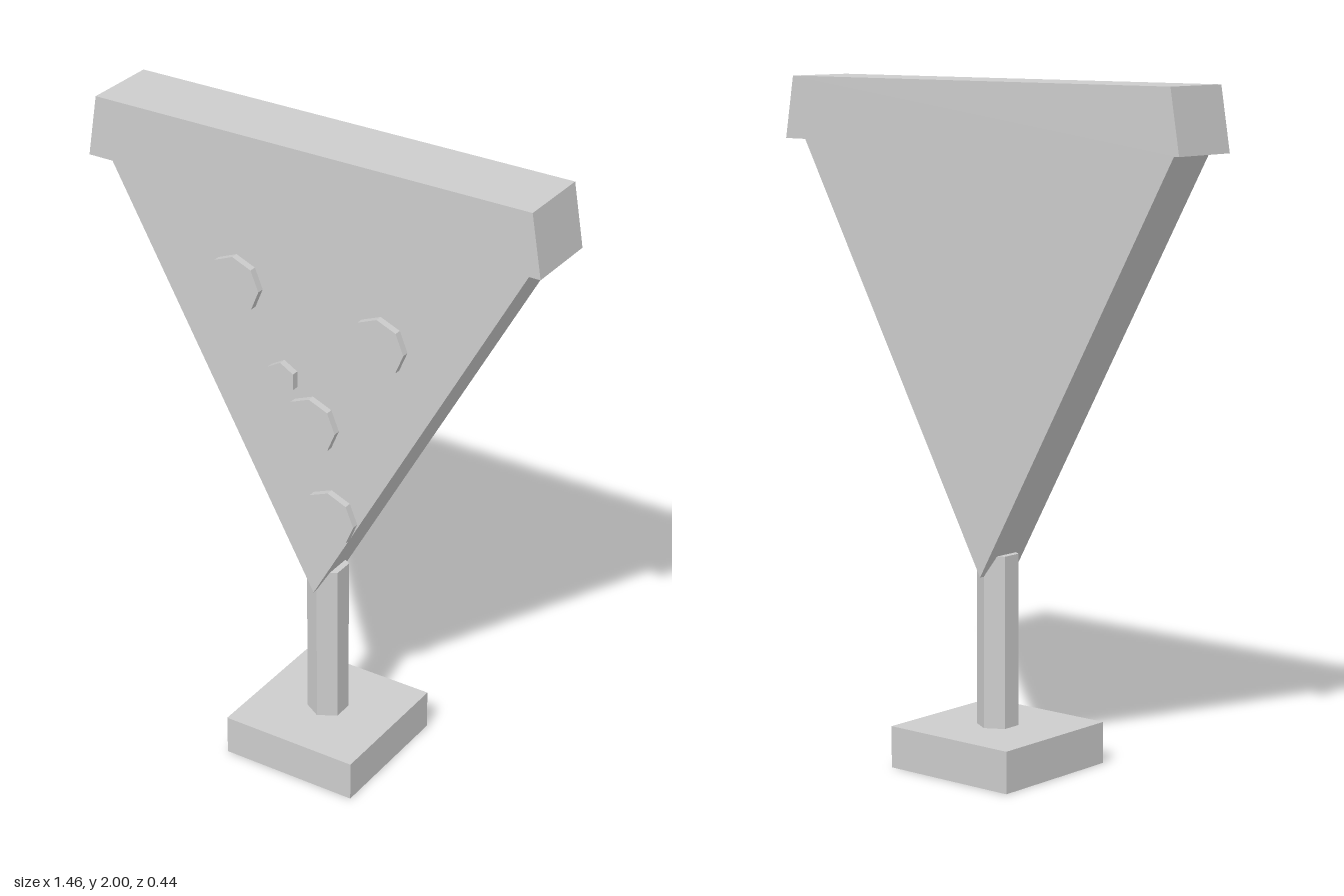
import * as THREE from 'three';

export function createModel() {
  const model = new THREE.Group();
  const grey = new THREE.MeshStandardMaterial({ color: 0xcccccc, flatShading: true });
  grey.name = 'light grey';

  function add(name, geometry, x = 0, y = 0, z = 0) {
    const mesh = new THREE.Mesh(geometry, grey);
    mesh.name = name;
    mesh.position.set(x, y, z);
    model.add(mesh);
    return mesh;
  }

  // Flat outline in x/y, extruded evenly about z = 0
  function slab(points, depth) {
    const shape = new THREE.Shape(points.map(([x, y]) => new THREE.Vector2(x, y)));
    return new THREE.ExtrudeGeometry(shape, { depth, bevelEnabled: false }).translate(0, 0, -depth / 2);
  }

  // Stand: square foot and six-sided post with a corner to the front
  add('base', new THREE.BoxGeometry(0.44, 0.124, 0.44), 0, 0.062);
  add('post', new THREE.CylinderGeometry(0.062, 0.062, 0.535, 6), 0, 0.3675);

  // Triangular slice, its wide end running a little into the crust
  add('slice', slab([[0, 0.574], [0.698, 1.834], [-0.698, 1.834]], 0.157));

  // Crust, slightly narrower at the top
  add('crust', slab([[-0.73, 1.815], [0.73, 1.815], [0.699, 2], [-0.699, 2]], 0.228));

  // Round toppings on the front: x, y, radius, sides
  const toppings = [
    [-0.254, 1.526, 0.087, 8],
    [0.222, 1.462, 0.087, 8],
    [0, 1.146, 0.087, 8],
    [0.063, 0.858, 0.087, 8],
    [-0.096, 1.273, 0.05, 6],
  ];
  for (const [x, y, radius, sides] of toppings) {
    const disc = new THREE.CylinderGeometry(radius, radius, 0.026, sides).rotateX(Math.PI / 2);
    add('topping', disc, x, y, 0.0875);
  }

  return model;
}
